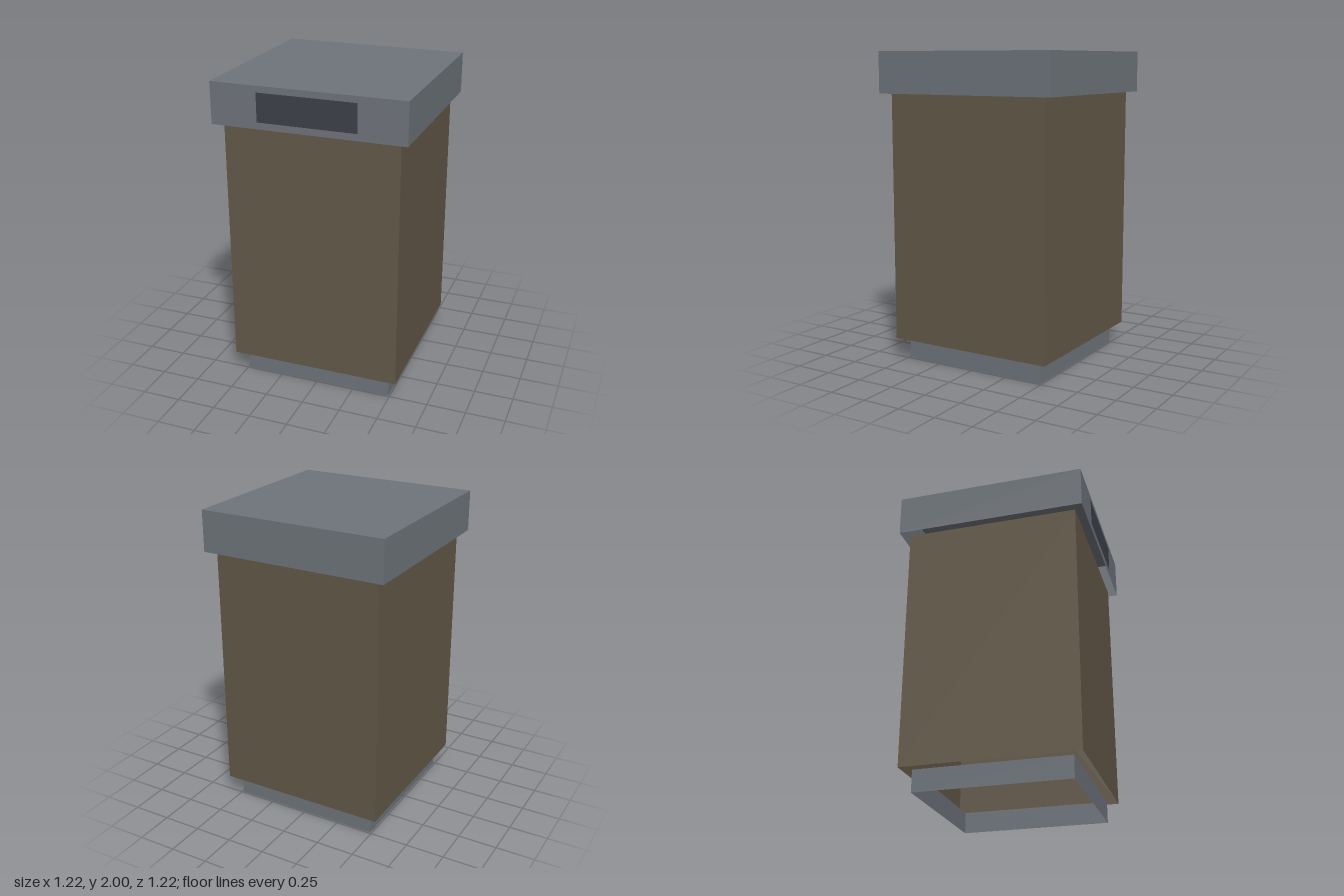
import * as THREE from 'three';

const mat = (name, color, side) => {
  const m = new THREE.MeshStandardMaterial({ color, side });
  m.name = name;
  return m;
};

// Square sheet shell: four walls, with an optional top, always open below.
function shell(name, half, y0, y1, closedTop, material) {
  const g = new THREE.BoxGeometry(half * 2, y1 - y0, half * 2);
  const index = Array.from(g.index.array);
  // box faces come in the order +x, -x, +y, -y, +z, -z, six indices each
  const keep = closedTop ? [0, 1, 2, 4, 5] : [0, 1, 4, 5];
  g.setIndex(keep.flatMap((f) => index.slice(f * 6, f * 6 + 6)));
  g.clearGroups();
  const mesh = new THREE.Mesh(g, material);
  mesh.name = name;
  mesh.position.y = (y0 + y1) / 2;
  return mesh;
}

export function createModel() {
  const metal = mat('grey metal', 0x6e747b, THREE.DoubleSide);
  const wood = mat('brown panel', 0x625847, THREE.DoubleSide);
  const dark = mat('dark slot', 0x3c4048, THREE.FrontSide);

  const model = new THREE.Group();
  model.name = 'bin';
  model.add(
    shell('base', 0.49, 0, 0.14, false, metal),
    shell('body', 0.555, 0.14, 1.737, false, wood),
    shell('lid', 0.61, 1.737, 2, true, metal)
  );

  // slot painted on the front of the lid
  const slot = new THREE.Mesh(new THREE.PlaneGeometry(0.624, 0.18), dark);
  slot.name = 'slot';
  slot.position.set(0, 1.87, 0.612);
  model.add(slot);
  return model;
}
